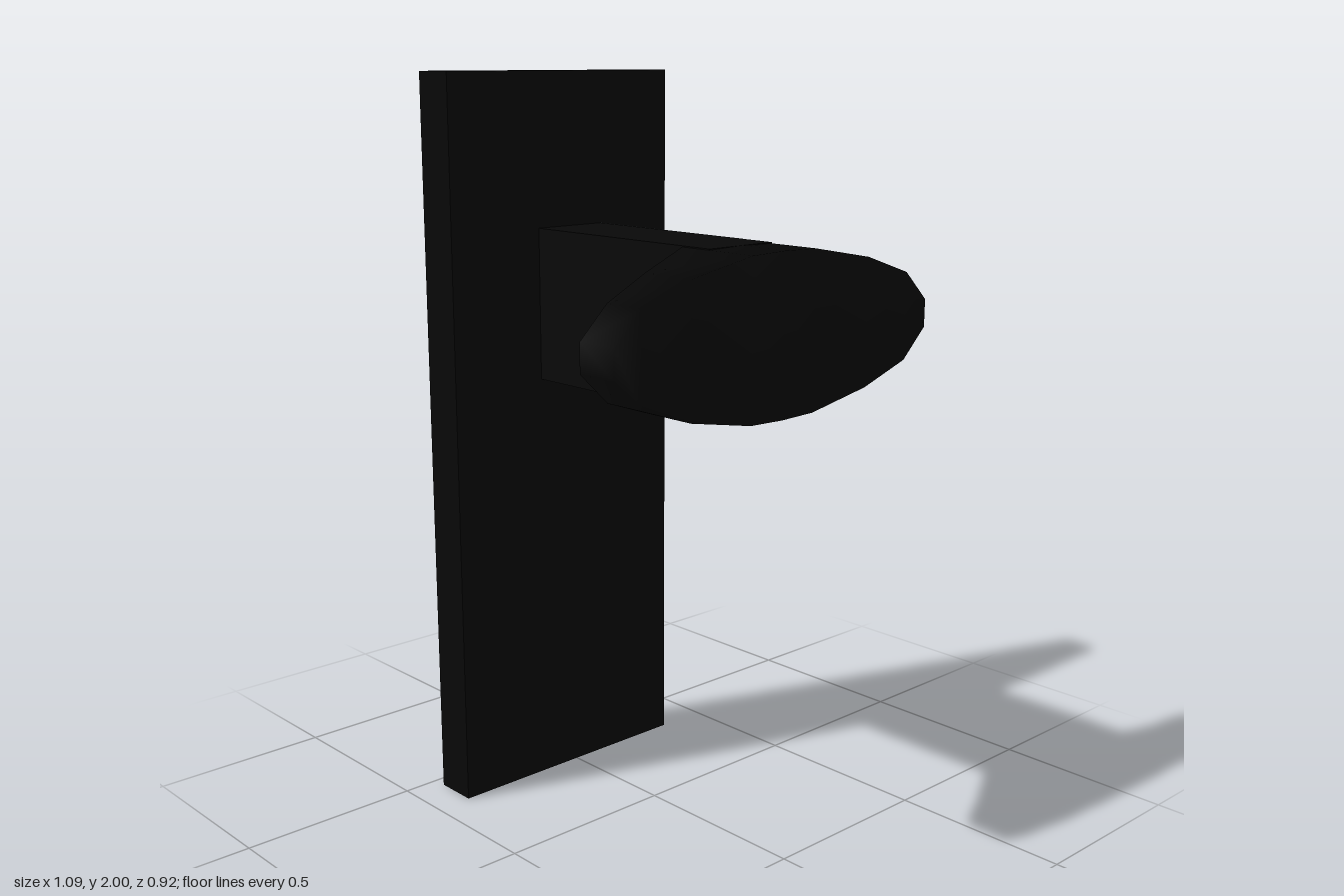
import * as THREE from 'three';

const CENTER_Y = 1.377;

function mesh(name, geometry, material) {
  const m = new THREE.Mesh(geometry, material);
  m.name = name;
  return m;
}

// Loft of rectangular cross-sections along x: [x, half height, back z]
function loftKnob(sections, frontZ) {
  const pos = [], idx = [];
  for (const [x, h, back] of sections) {
    pos.push(x, h, back, x, h, frontZ, x, -h, frontZ, x, -h, back);
  }
  for (let i = 0; i < sections.length - 1; i++) {
    for (let j = 0; j < 4; j++) {
      const a = i * 4 + j, b = i * 4 + (j + 1) % 4;
      idx.push(a, b, b + 4, a, b + 4, a + 4);
    }
  }
  const e = (sections.length - 1) * 4;
  idx.push(0, 2, 1, 0, 3, 2, e, e + 1, e + 2, e, e + 2, e + 3);
  const g = new THREE.BufferGeometry();
  g.setAttribute('position', new THREE.Float32BufferAttribute(pos, 3));
  g.setIndex(idx);
  g.computeVertexNormals();
  return g;
}

export function createModel() {
  const group = new THREE.Group();
  const black = new THREE.MeshStandardMaterial({ color: 0x080808, side: THREE.DoubleSide });
  black.name = 'black';
  const grey = new THREE.MeshStandardMaterial({ color: 0x5c676b, side: THREE.DoubleSide });
  grey.name = 'steel grey';

  // Hollow back plate: a box without its rear face
  const plateGeo = new THREE.BoxGeometry(0.755, 2, 0.12);
  plateGeo.setIndex(Array.from(plateGeo.index.array).slice(0, 30));
  plateGeo.clearGroups();
  const plate = mesh('backPlate', plateGeo, black);
  plate.position.set(-0.022, 1, -0.402);
  group.add(plate);

  // Neck joining plate and knob
  const neck = mesh('neck', new THREE.BoxGeometry(0.22, 0.416, 0.66), black);
  neck.position.set(0, CENTER_Y, -0.015);
  group.add(neck);

  // Grey facet on the left side of the neck, drawn in (z, y)
  const facet = new THREE.Shape([[0.22, 1.23], [0.22, 1.585], [-0.342, 1.585], [-0.342, 1.49]]
    .map(([z, y]) => new THREE.Vector2(-z, y)));
  const facetMesh = mesh('neckFacet', new THREE.ShapeGeometry(facet), grey);
  facetMesh.rotation.y = Math.PI / 2;
  facetMesh.position.x = 0.112;
  group.add(facetMesh);

  // Wide lens-shaped knob
  const half = [[0.11, 0.205, 0.22], [0.31, 0.168, 0.305], [0.465, 0.116, 0.346], [0.547, 0.037, 0.346]];
  const mirrored = half.map(([x, h, z]) => [-x, h, z]).reverse();
  const sections = [...mirrored, [0, 0.208, 0.22], ...half];
  const knob = mesh('knob', loftKnob(sections, 0.462), black);
  knob.position.y = CENTER_Y;
  group.add(knob);

  return group;
}
